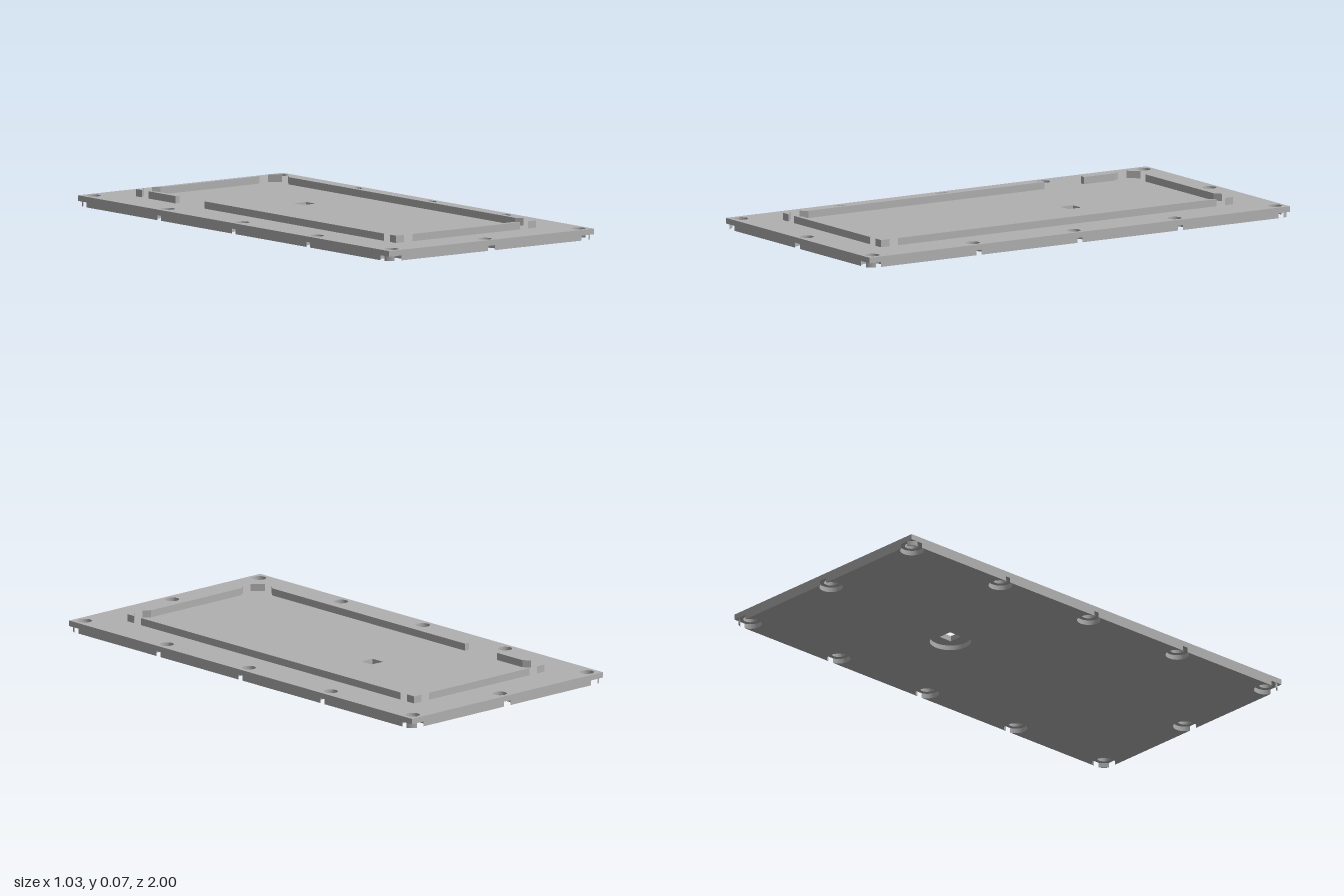
import * as THREE from 'three';

const W = 0.515, H = 1, TOP = 0.0425, POCKET = 0.02, RAIL_TOP = 0.0715;
const HX = 0.47, HZ = 0.957, MID = 0.479; // screw positions
const HOLE_R = 0.028, BORE_R = 0.0465;

export function createModel() {
  const model = new THREE.Group();
  const grey = new THREE.MeshStandardMaterial({ color: 0xb0b0b0 });
  grey.name = 'grey';

  // Outlines are drawn in plan (x, -z) and extruded upwards
  const add = (name, shape, y0, y1) => {
    const geo = new THREE.ExtrudeGeometry(shape, { depth: y1 - y0, bevelEnabled: false, curveSegments: 32 });
    geo.rotateX(-Math.PI / 2);
    geo.translate(0, y0, 0);
    const mesh = new THREE.Mesh(geo, grey);
    mesh.name = name;
    model.add(mesh);
  };
  const poly = (pts) => new THREE.Shape(pts.map(([x, y]) => new THREE.Vector2(x, y)));
  const circle = (x, y, r) => new THREE.Path().absarc(x, y, r, 0, Math.PI * 2, true);

  // Screw positions counter-clockwise, with the quarter-turn of the edge entered and left
  const screws = [
    [HX, -MID, 0, 0], [HX, 0, 0, 0], [HX, MID, 0, 0], [HX, HZ, 0, 1],
    [0, HZ, 1, 1], [-HX, HZ, 1, 2],
    [-HX, MID, 2, 2], [-HX, 0, 2, 2], [-HX, -MID, 2, 2], [-HX, -HZ, 2, 3],
    [0, -HZ, 3, 3], [HX, -HZ, 3, 4],
  ];
  // Half angle over which a counterbore breaks through an edge
  const breakAngle = (q) => Math.acos((q % 2 ? H - HZ : W - HX) / BORE_R);

  // Upper layer with screw holes and square opening
  const plate = poly([[-W, -H], [W, -H], [W, H], [-W, H]]);
  screws.forEach(([x, y]) => plate.holes.push(circle(x, y, HOLE_R)));
  const sx = 0.05, sy = 0.265, s = 0.03;
  plate.holes.push(new THREE.Path([[-s, -s], [-s, s], [s, s], [s, -s]]
    .map(([x, y]) => new THREE.Vector2(sx + x, sy + y))));
  add('plate', plate, POCKET, TOP);

  // Lower layer, cut by the counterbores that open through the rim
  const base = new THREE.Shape();
  screws.forEach(([x, y, q1, q2], i) => {
    const start = q1 * Math.PI / 2 - breakAngle(q1);
    const end = q2 * Math.PI / 2 + breakAngle(q2);
    const px = x + BORE_R * Math.cos(start), py = y + BORE_R * Math.sin(start);
    if (i === 0) base.moveTo(px, py);
    else base.lineTo(px, py);
    base.absarc(x, y, BORE_R, start, end, true);
    // Small foot left standing outside each corner counterbore
    if (q1 !== q2) {
      const foot = new THREE.Shape();
      foot.moveTo(Math.sign(x) * W, Math.sign(y) * H);
      foot.absarc(x, y, BORE_R, q2 * Math.PI / 2 - breakAngle(q2), q1 * Math.PI / 2 + breakAngle(q1), true);
      foot.closePath();
      add('cornerFoot', foot, 0, POCKET);
    }
  });
  base.closePath();
  base.holes.push(circle(sx, sy, 0.082));
  add('base', base, 0, POCKET);

  // Raised locating rails with mitred ends
  const RX = 0.352, RZ = 0.837, T = 0.021;
  for (const k of [-1, 1]) {
    add('endRail', poly([[-0.271, k * RZ], [0.271, k * RZ], [0.243, k * (RZ - T)], [-0.243, k * (RZ - T)]]), TOP, RAIL_TOP);
    for (const j of [-1, 1]) {
      add('cornerRail', poly([[j * RX, k * RZ], [j * (RX - 0.04), k * RZ], [j * RX, k * (RZ - 0.04)]]), TOP, RAIL_TOP);
    }
  }
  const LZ = 0.757, LI = 0.729;
  add('leftRail', poly([[RX, -LZ], [RX, LZ], [RX - T, LI], [RX - T, -LI]]), TOP, RAIL_TOP);
  add('rightRailLong', poly([[-RX, -LZ], [-RX + T, -LI], [-RX + T, 0.394], [-RX, 0.394]]), TOP, RAIL_TOP);
  add('rightRailShort', poly([[-RX, 0.582], [-RX + T, 0.582], [-RX + T, LI], [-RX, LZ]]), TOP, RAIL_TOP);

  return model;
}
